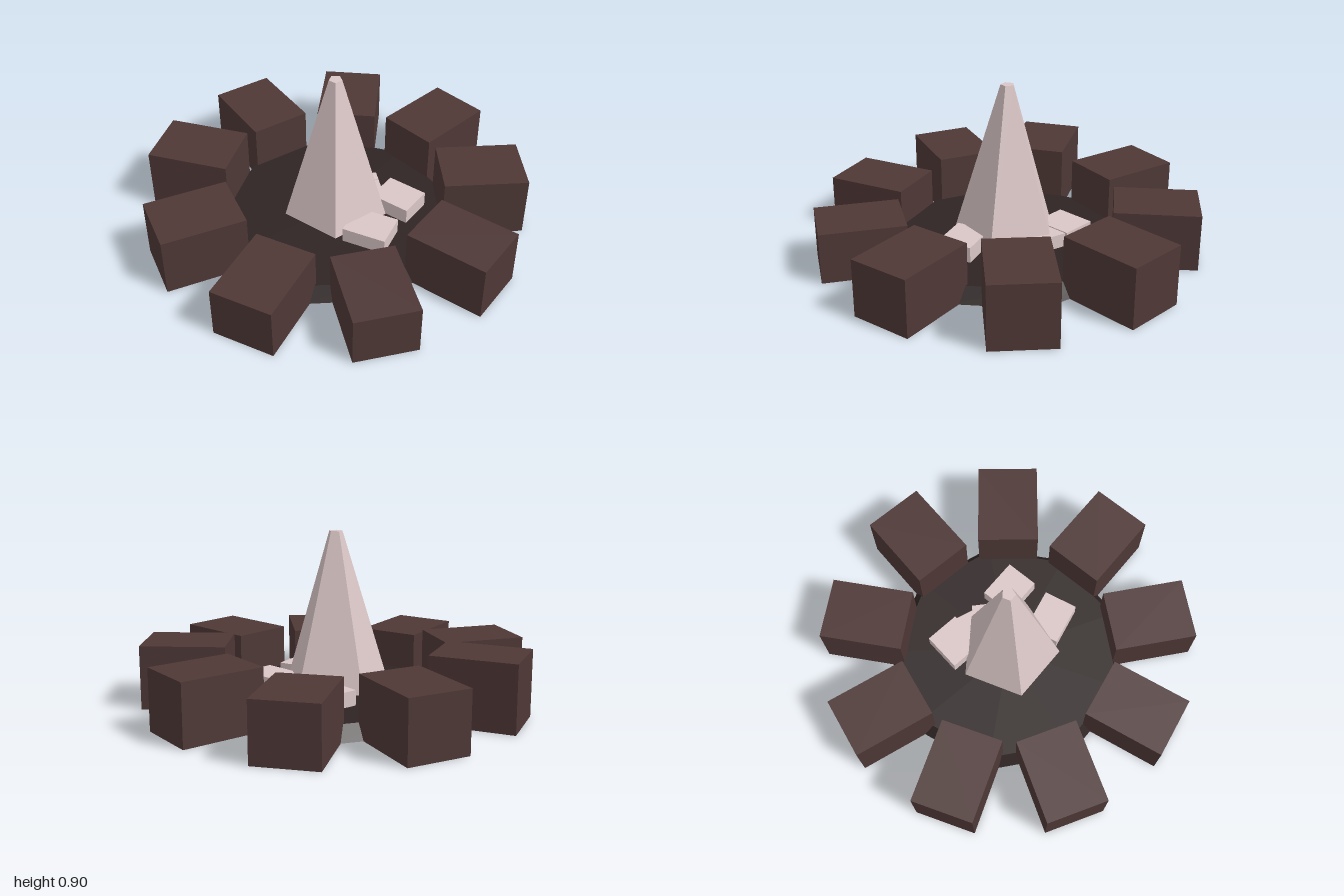
import * as THREE from 'three';

export function createModel() {
  const model = new THREE.Group();
  model.name = 'firePit';

  const material = (name, color) => {
    const m = new THREE.MeshStandardMaterial({ color, flatShading: true });
    m.name = name;
    return m;
  };
  const stone = material('brown stone', 0x4e3836);
  const ash = material('dark ash', 0x2e2423);
  const pale = material('pale flame', 0xdac6c6);

  const add = (name, geometry, mat, x, y, z, turn = 0, parent = model) => {
    const mesh = new THREE.Mesh(geometry, mat);
    mesh.name = name;
    mesh.position.set(x, y, z);
    mesh.rotation.y = turn;
    parent.add(mesh);
    return mesh;
  };

  // Nine-sided ash bed with sloping rim
  add('ashBed', new THREE.CylinderGeometry(0.605, 0.655, 0.077, 9), ash, 0, 0.0385, 0, Math.PI);

  // Ring of nine stones, each with its own height
  const ring = new THREE.Group();
  ring.name = 'stoneRing';
  model.add(ring);
  const heights = [0.298, 0.265, 0.275, 0.318, 0.345, 0.31, 0.3, 0.315, 0.33];
  heights.forEach((h, i) => {
    const a = (i / heights.length) * Math.PI * 2;
    add('stone', new THREE.BoxGeometry(0.435, h, 0.325), stone,
      Math.cos(a) * 0.765, h / 2, Math.sin(a) * 0.765, -a, ring);
  });

  // Five-sided tapering flame, one edge to the back
  add('flame', new THREE.CylinderGeometry(0.035, 0.277, 0.79, 5), pale, 0, 0.505, 0, Math.PI);

  // Embers around the flame: x, z, width, depth, top, turn
  const embers = new THREE.Group();
  embers.name = 'embers';
  model.add(embers);
  [
    [0.26, -0.21, 0.22, 0.18, 0.16, 0],
    [0.275, 0.073, 0.23, 0.184, 0.158, 0.2],
    [-0.165, -0.242, 0.19, 0.21, 0.155, -0.14],
    [-0.035, -0.215, 0.2, 0.18, 0.15, -0.38],
    [0.055, -0.2, 0.15, 0.15, 0.145, -0.75],
  ].forEach(([x, z, w, d, top, turn]) => {
    const h = top - 0.06;
    add('ember', new THREE.BoxGeometry(w, h, d), pale, x, 0.06 + h / 2, z, turn, embers);
  });

  return model;
}
